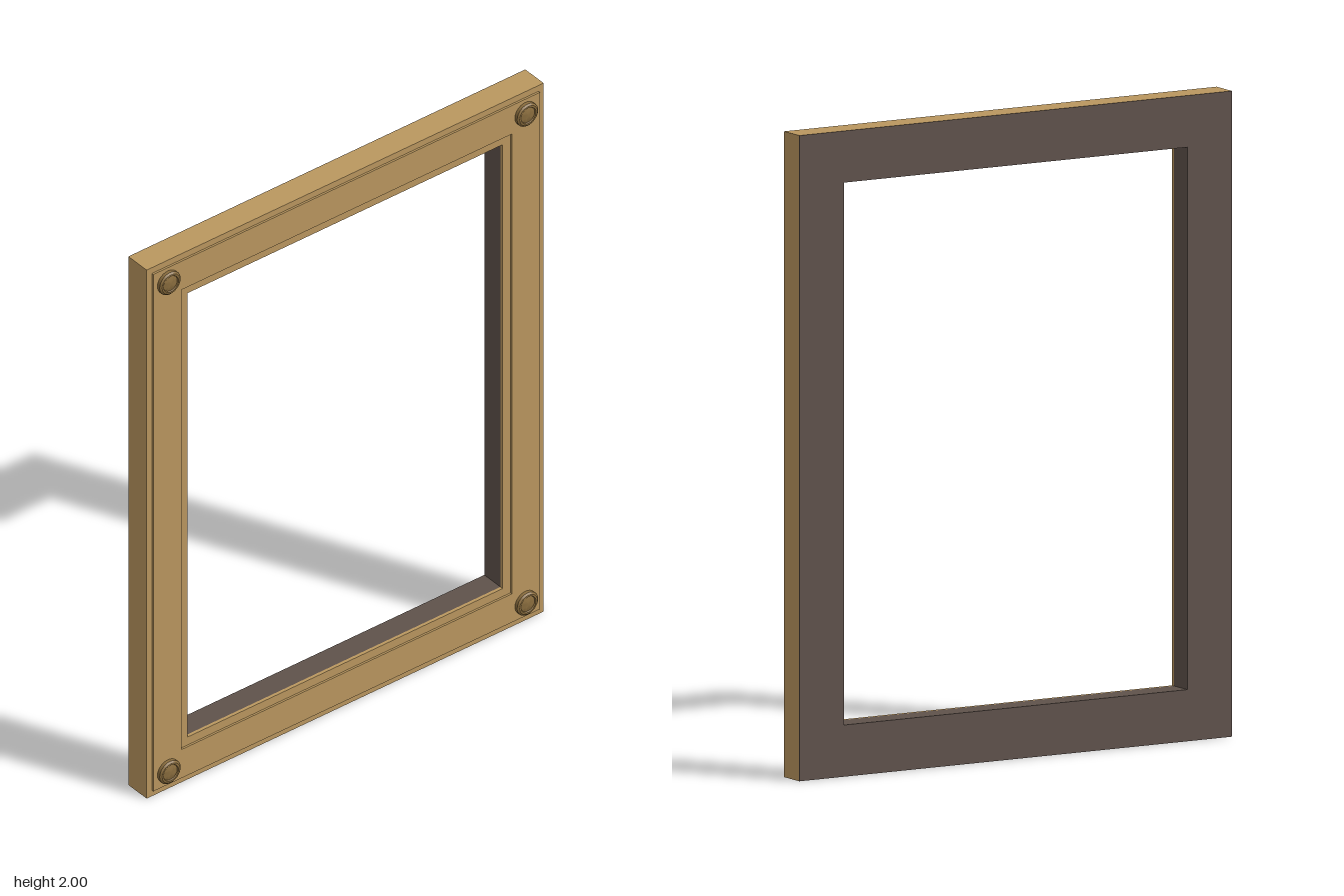
import * as THREE from 'three';
import { toCreasedNormals } from 'three/addons/utils/BufferGeometryUtils.js';

const gold = new THREE.MeshStandardMaterial({ color: 0xba975f });
gold.name = 'antique gold';
const dark = new THREE.MeshStandardMaterial({ color: 0x5f524b });
dark.name = 'dark brown backing';
const brass = new THREE.MeshStandardMaterial({ color: 0x8a6d3e });
brass.name = 'aged brass';

const W = 0.775, H = 1;          // outer half sizes
const OW = 0.615, OH = 0.84;     // opening half sizes

function rect(target, w, h) {
  target.moveTo(-w, -h);
  target.lineTo(w, -h);
  target.lineTo(w, h);
  target.lineTo(-w, h);
  target.closePath();
  return target;
}

// Rectangular ring between two half sizes, from z0 to z1
function ring(name, outer, inner, z0, z1, material) {
  const shape = rect(new THREE.Shape(), ...outer);
  shape.holes.push(rect(new THREE.Path(), ...inner));
  const geo = new THREE.ExtrudeGeometry(shape, { depth: z1 - z0, bevelEnabled: false });
  geo.translate(0, H, z0);
  const mesh = new THREE.Mesh(geo, material);
  mesh.name = name;
  return mesh;
}

export function createModel() {
  const model = new THREE.Group();
  model.name = 'pictureFrame';

  // Main moulding, front lip and shallow raised face
  model.add(
    ring('frameBody', [W, H], [OW + 0.002, OH + 0.002], -0.056, 0.022, gold),
    ring('frontLip', [W, H], [OW, OH], 0.022, 0.033, gold),
    ring('raisedFace', [0.755, 0.978], [0.645, 0.87], 0.033, 0.04, gold),
  );

  // Dark backing and lining of the opening
  model.add(
    ring('backPlate', [W, H], [OW, OH], -0.057, -0.056, dark),
    ring('openingLiner', [OW + 0.002, OH + 0.002], [OW, OH], -0.056, 0.022, dark),
  );

  // Corner studs: stepped rim around a low dome
  const profile = [
    [0.041, 0], [0.041, 0.011], [0.035, 0.016], [0.029, 0.016], [0.027, 0.012],
    [0.022, 0.0145], [0.012, 0.0165], [0, 0.017],
  ].map(([r, y]) => new THREE.Vector2(r, y));
  const studGeo = toCreasedNormals(new THREE.LatheGeometry(profile, 28), 0.5);
  studGeo.rotateX(Math.PI / 2);
  for (const sx of [-1, 1]) {
    for (const sy of [-1, 1]) {
      const stud = new THREE.Mesh(studGeo, brass);
      stud.name = (sy > 0 ? 'upper' : 'lower') + (sx > 0 ? 'Left' : 'Right') + 'Stud';
      stud.position.set(sx * 0.698, H + sy * 0.925, 0.04);
      model.add(stud);
    }
  }
  // Profile runs upward from the rim, so both faces are kept visible
  brass.side = THREE.DoubleSide;
  return model;
}
